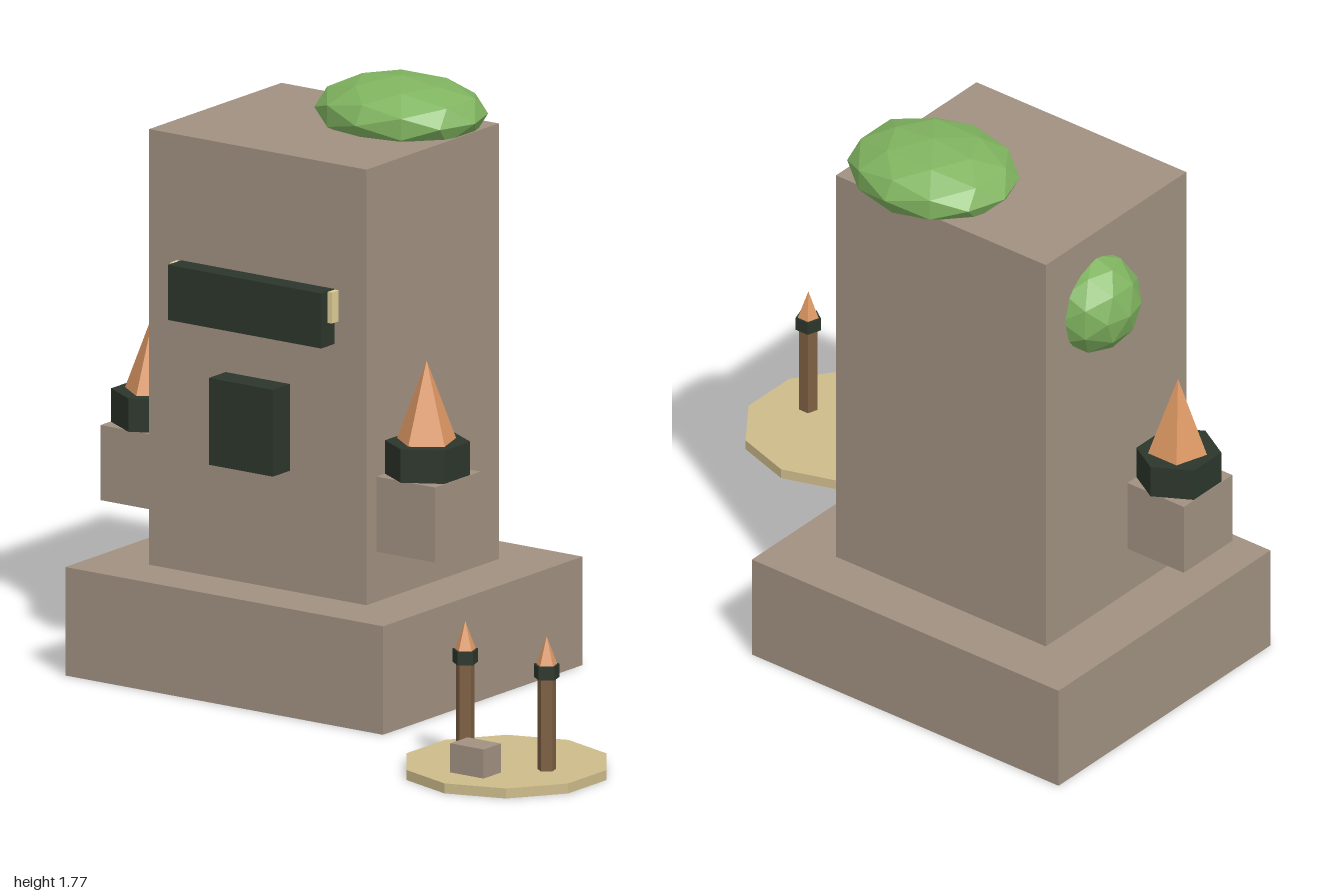
import * as THREE from 'three';

const material = (color) => new THREE.MeshStandardMaterial({ color, flatShading: true });
const stone = material(0xa09180);
const dark = material(0x2c362b);
const brass = material(0xe0cd96);
const sand = material(0xcdbb8a);
const flame = material(0xdc9763);
const wood = material(0x7d5f42);
const leaf = material(0x80b460);

export function createModel() {
  const model = new THREE.Group();

  const add = (name, geometry, mat, x, y, z, parent = model) => {
    const mesh = new THREE.Mesh(geometry, mat);
    mesh.name = name;
    mesh.position.set(x, y, z);
    parent.add(mesh);
    return mesh;
  };
  // Box given by its limits on each axis
  const box = (name, mat, [x0, x1], [y0, y1], [z0, z1], parent) =>
    add(name, new THREE.BoxGeometry(x1 - x0, y1 - y0, z1 - z0), mat,
      (x0 + x1) / 2, (y0 + y1) / 2, (z0 + z1) / 2, parent);
  // Upright prism or cone between two heights
  const prism = (name, mat, rTop, rBottom, y0, y1, sides, parent) =>
    add(name, new THREE.CylinderGeometry(rTop, rBottom, y1 - y0, sides), mat,
      0, (y0 + y1) / 2, 0, parent);
  const group = (name, x, z) => {
    const g = new THREE.Group();
    g.name = name;
    g.position.set(x, 0, z);
    model.add(g);
    return g;
  };

  // Main block on its plinth
  box('plinth', stone, [-0.97, 0.17], [0, 0.325], [-0.71, 0.27]);
  box('tower', stone, [-0.79, -0.01], [0.325, 1.63], [-0.545, 0.105]);

  // Front fittings
  box('lintel', dark, [-0.675, -0.125], [1.09, 1.255], [0.1, 0.17]);
  box('lintelTrim', brass, [-0.69, -0.11], [1.16, 1.253], [0.1, 0.138]);
  box('plaque', dark, [-0.515, -0.285], [0.685, 0.945], [0.1, 0.188]);

  // Braziers on side brackets
  for (const [side, x] of [['right', -0.888], ['left', 0.088]]) {
    const g = group(side + 'Brazier', x, -0.056);
    box('bracket', stone, [-0.112, 0.112], [0.475, 0.7], [-0.112, 0.112], g);
    prism('bowl', dark, 0.127, 0.127, 0.7, 0.8, 6, g);
    prism('flame', flame, 0, 0.09, 0.8, 1.04, 5, g);
  }

  // Shrubs
  const shrub = (name, x, y, z, rx, ry, rz) =>
    add(name, new THREE.IcosahedronGeometry(1, 1), leaf, x, y, z).scale.set(rx, ry, rz);
  shrub('topShrub', -0.245, 1.667, -0.387, 0.265, 0.105, 0.225);
  shrub('sideShrub', -0.775, 1.388, -0.31, 0.14, 0.155, 0.15);

  // Small ground disc with torches and a stone
  prism('groundDisc', sand, 0.305, 0.305, 0, 0.03, 10, group('outpost', 0.705, 0.396));
  for (const [side, x] of [['right', 0.56], ['left', 0.852]]) {
    const g = group(side + 'Torch', x, 0.4);
    prism('post', wood, 0.028, 0.028, 0.03, 0.305, 5, g);
    prism('cup', dark, 0.039, 0.039, 0.305, 0.345, 5, g);
    prism('torchFlame', flame, 0, 0.032, 0.345, 0.43, 5, g);
  }
  box('steppingStone', stone, [0.645, 0.765], [0.03, 0.117], [0.505, 0.59]);

  return model;
}
